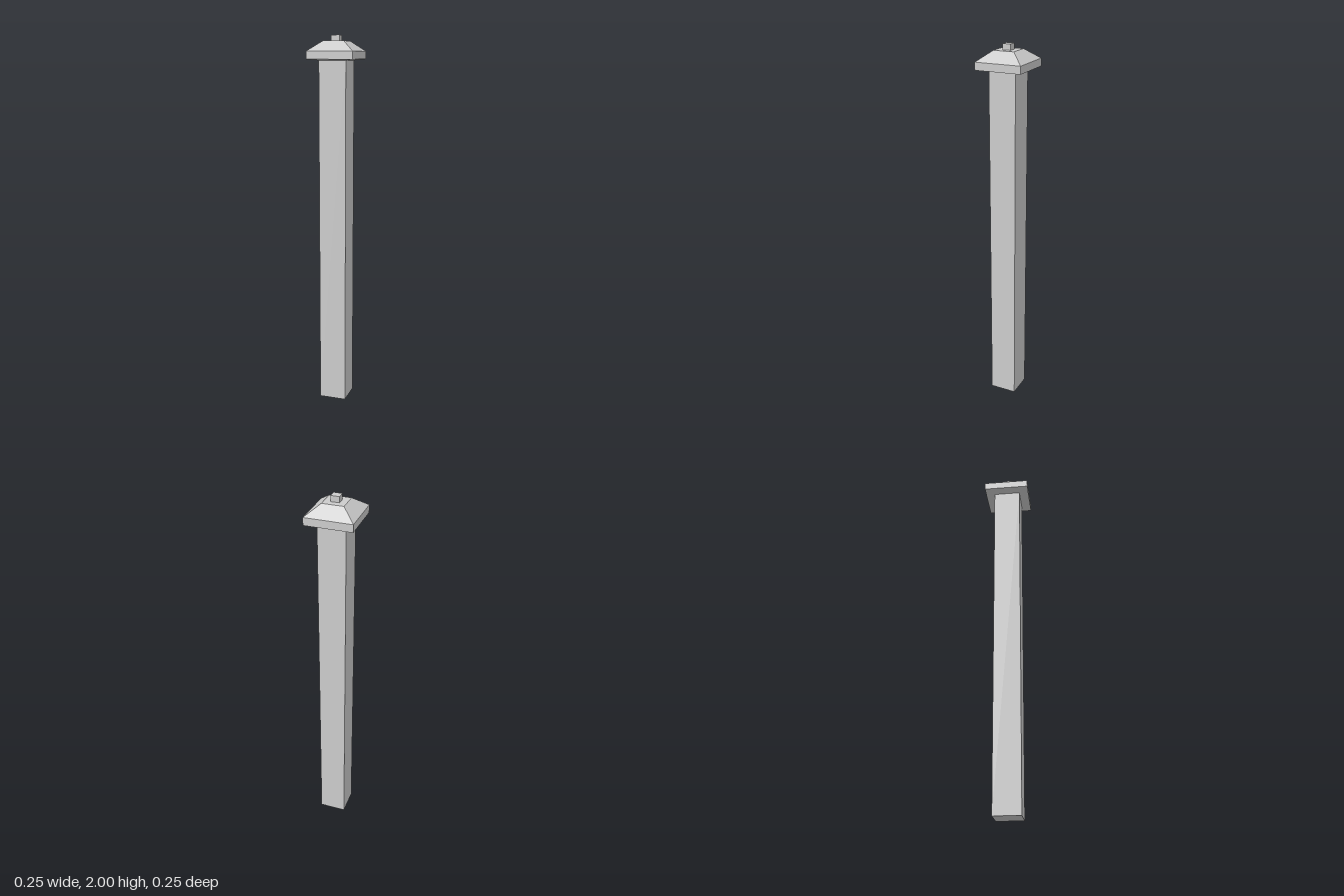
import * as THREE from 'three';

const material = new THREE.MeshStandardMaterial({ color: 0xcccccc, flatShading: true });

// Square frustum between two heights, given half widths at bottom and top
function squareBlock(name, y0, y1, halfBottom, halfTop, openEnded = false) {
  const geometry = new THREE.CylinderGeometry(
    halfTop * Math.SQRT2, halfBottom * Math.SQRT2, y1 - y0, 4, 1, openEnded);
  geometry.rotateY(Math.PI / 4);
  geometry.translate(0, (y0 + y1) / 2, 0);
  const mesh = new THREE.Mesh(geometry, material);
  mesh.name = name;
  return mesh;
}

export function createModel() {
  const model = new THREE.Group();
  model.name = 'post';

  // Plain square shaft
  model.add(squareBlock('shaft', 0, 1.872, 0.073, 0.073));

  // Cap: shallow underside, vertical rim and sloped roof
  const cap = new THREE.Group();
  cap.name = 'cap';
  cap.add(
    squareBlock('capUnderside', 1.872, 1.878, 0.073, 0.124, true),
    squareBlock('capRim', 1.878, 1.918, 0.124, 0.124, true),
    squareBlock('capRoof', 1.918, 1.97, 0.124, 0.056),
  );
  model.add(cap);

  // Small square stub on top
  model.add(squareBlock('finial', 1.97, 2, 0.022, 0.022));

  return model;
}
